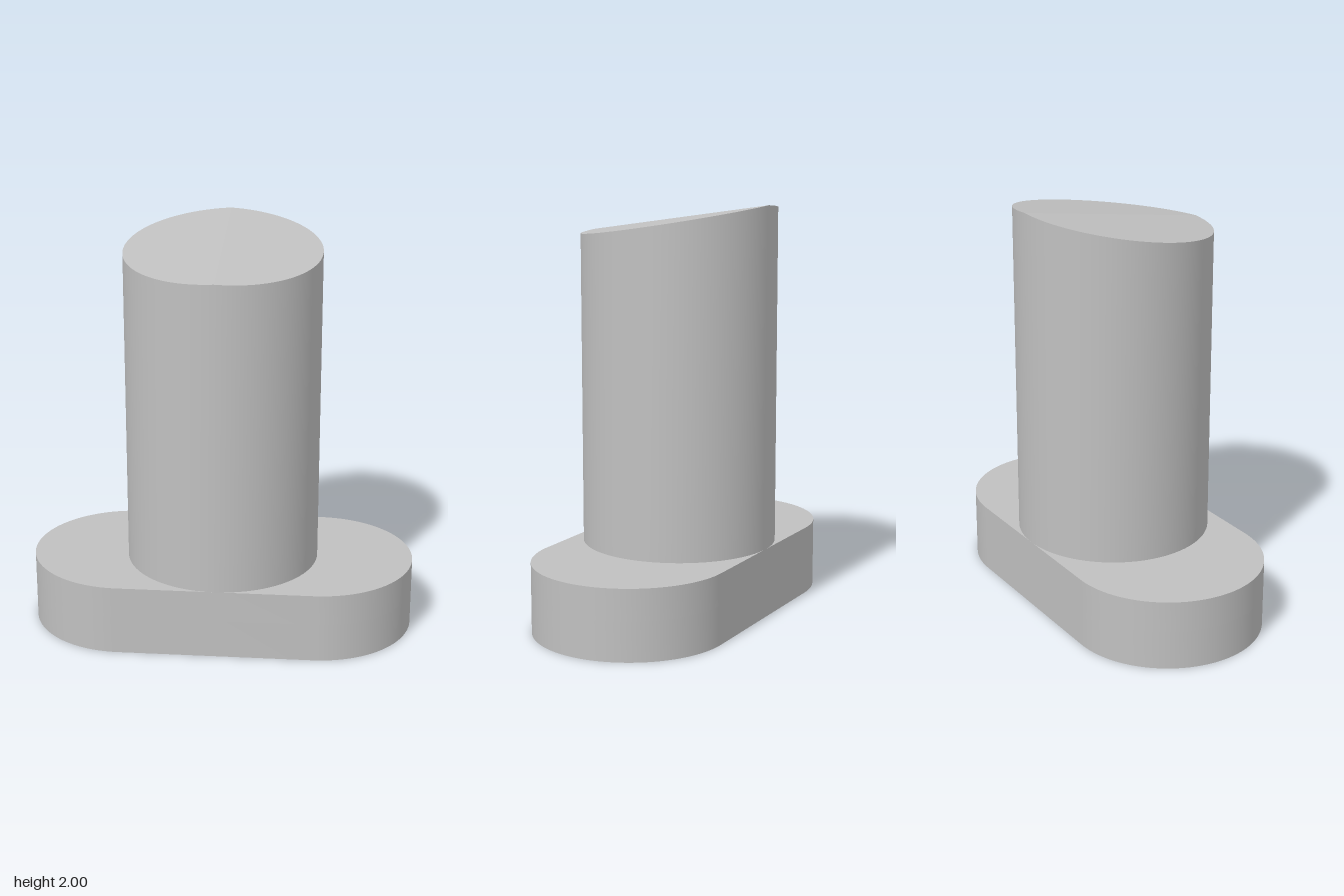
import * as THREE from 'three';
import { toCreasedNormals } from 'three/addons/utils/BufferGeometryUtils.js';

const R = 0.475;         // post radius and foot end radius
const FOOT_H = 0.343;    // foot height
const HOLE_R = 0.21;
const HOLE_X = 0.54;
const HOLE_DEPTH = 0.19;

// Stadium outline of the foot
function footShape() {
  const s = new THREE.Shape();
  s.moveTo(-R, -R);
  s.lineTo(R, -R);
  s.absarc(R, 0, R, -Math.PI / 2, Math.PI / 2, false);
  s.lineTo(-R, R);
  s.absarc(-R, 0, R, Math.PI / 2, Math.PI * 1.5, false);
  return s;
}

// One horizontal layer of the foot, from y to y + height
function footLayer(shape, y, height) {
  const g = new THREE.ExtrudeGeometry(shape, { depth: height, bevelEnabled: false, curveSegments: 48 });
  g.rotateX(-Math.PI / 2);
  g.translate(0, y, 0);
  return toCreasedNormals(g, 0.5);
}

// Round post whose top is two planes meeting in a ridge that slopes down to the front
function postGeometry() {
  const g = new THREE.CylinderGeometry(R, R, 1, 96, 1);
  const p = g.attributes.position;
  for (let i = 0; i < p.count; i++) {
    const top = 1.93 - 0.147 * p.getZ(i) - 0.06 * Math.abs(p.getX(i));
    p.setY(i, p.getY(i) > 0 ? top : FOOT_H);
  }
  return toCreasedNormals(g, 0.1);
}

export function createModel() {
  const grey = new THREE.MeshStandardMaterial({ color: 0xc0c0c0 });
  grey.name = 'plain grey';

  const model = new THREE.Group();
  model.name = 'pin';
  const add = (name, geometry) => {
    const mesh = new THREE.Mesh(geometry, grey);
    mesh.name = name;
    model.add(mesh);
  };

  // Lower layer carries the two blind holes, upper layer closes them
  const drilled = footShape();
  for (const side of [-1, 1]) {
    const hole = new THREE.Path();
    hole.absarc(side * HOLE_X, 0, HOLE_R, 0, Math.PI * 2, true);
    drilled.holes.push(hole);
  }
  add('drilledFoot', footLayer(drilled, 0, HOLE_DEPTH));
  add('footTop', footLayer(footShape(), HOLE_DEPTH, FOOT_H - HOLE_DEPTH));
  add('post', postGeometry());

  return model;
}
